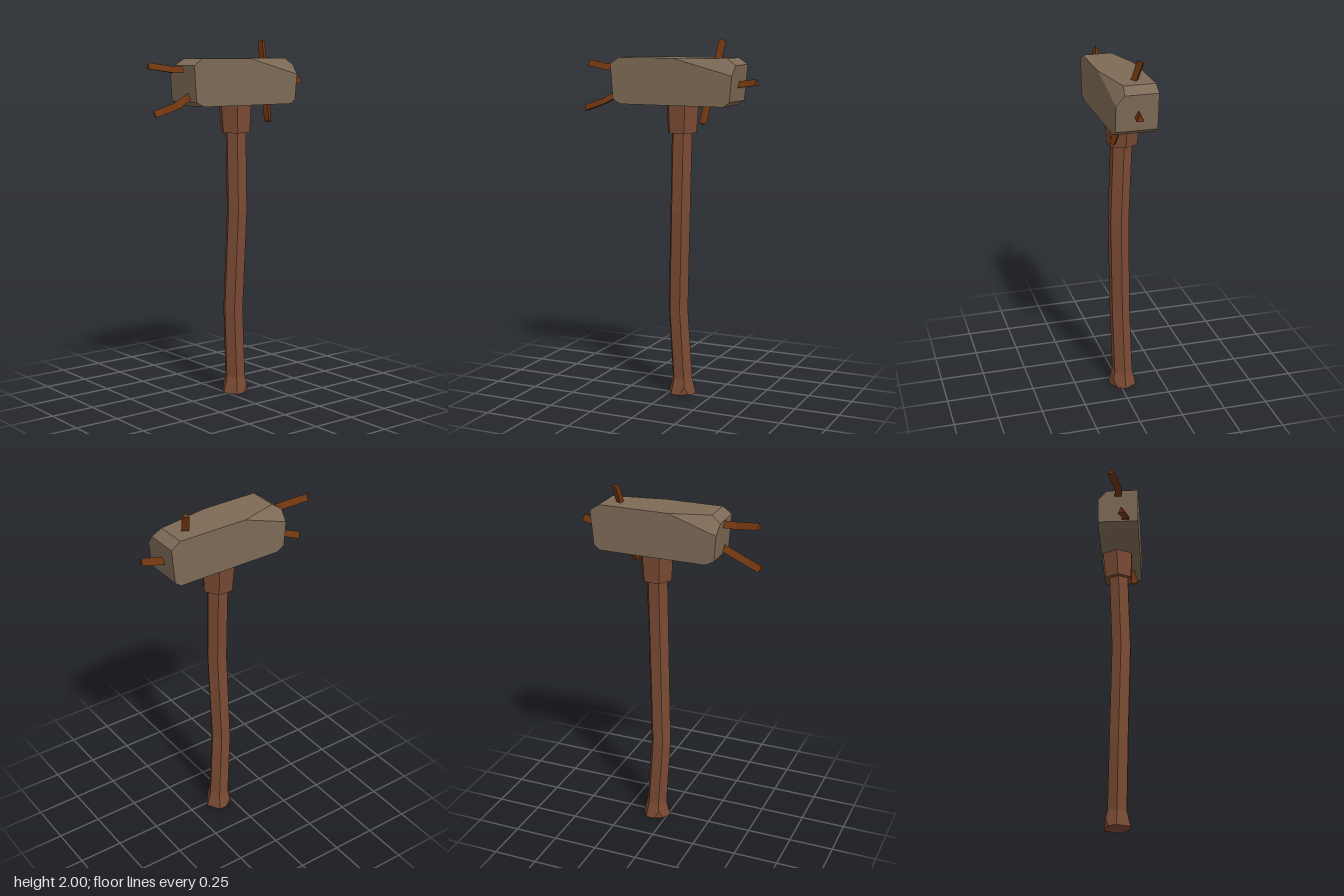
import * as THREE from 'three';
import { ConvexGeometry } from 'three/addons/geometries/ConvexGeometry.js';

const V = (x, y, z) => new THREE.Vector3(x, y, z);
const UP = V(0, 1, 0), FRONT = V(0, 0, 1);

const material = (color) => new THREE.MeshStandardMaterial({ color, flatShading: true });
const darkWood = material(0x7a4a33);
const stone = material(0x7d6a56);
const twigWood = material(0x6e3510);

// Regular polygon around a centre, facing along t, first corner towards ref
function ring(c, t, ref, r, sides) {
  const n = ref.clone().addScaledVector(t, -ref.dot(t)).normalize();
  const b = t.clone().cross(n);
  return Array.from({ length: sides }, (_, k) => {
    const a = (k / sides) * Math.PI * 2;
    return c.clone().addScaledVector(n, Math.cos(a) * r).addScaledVector(b, Math.sin(a) * r);
  });
}

// Closed, capped skin over a list of rings
function loft(rings) {
  const sides = rings[0].length, last = rings.length - 1, index = [];
  for (let i = 0; i < last; i++) {
    for (let j = 0; j < sides; j++) {
      const k = (j + 1) % sides, p = i * sides, q = p + sides;
      index.push(p + j, p + k, q + k, p + j, q + k, q + j);
    }
  }
  for (let j = 1; j < sides - 1; j++) {
    const e = last * sides;
    index.push(0, j + 1, j, e, e + j, e + j + 1);
  }
  const indexed = new THREE.BufferGeometry().setFromPoints(rings.flat());
  indexed.setIndex(index);
  const g = indexed.toNonIndexed();
  g.computeVertexNormals();
  return g;
}

// Upright six-sided post; each row is [x, y, z, radius]
const hexRing = ([x, y, z, r]) => ring(V(x, y, z), UP, FRONT, r, 6);
const post = (rows) => loft(rows.map(hexRing));

// Three-sided twig bent along a few points
function twig(points, ref, r) {
  return loft(points.map((p, i) => {
    const a = points[Math.max(i - 1, 0)], b = points[Math.min(i + 1, points.length - 1)];
    return ring(p, b.clone().sub(a).normalize(), ref, r, 3);
  }));
}

// Flared foot with two opposite bottom corners chipped off
function footGeometry() {
  const top = hexRing([-0.02, 0.09, -0.068, 0.06]);
  const bottom = hexRing([-0.02, 0, -0.068, 0.083]);
  const points = [...top];
  bottom.forEach((p, k) => {
    if (k % 3 !== 2) return points.push(p);
    points.push(p.clone().lerp(top[k], 0.5));
    for (const side of [1, 5]) points.push(p.clone().lerp(bottom[(k + side) % 6], 0.4));
  });
  return new ConvexGeometry(points);
}

// Stone block with bevelled ends and a long chip at two opposite top corners
function headGeometry() {
  const w = 0.113;
  const points = [
    // chip at the front, on the right
    V(-w, 1.9, 0.04), V(-0.05, 1.9, 0.26), V(-0.064, 1.864, 0.312), V(-w, 1.81, 0.307),
    V(w, 1.9, 0.26), V(w, 1.864, 0.312),
    // chip at the back, on the left
    V(w, 1.9, -0.06), V(0.06, 1.9, -0.357), V(0.07, 1.864, -0.41), V(w, 1.81, -0.405),
    V(-w, 1.9, -0.357), V(-w, 1.864, -0.41),
  ];
  for (const x of [-w, w]) {
    points.push(V(x, 1.67, 0.297), V(x, 1.645, 0.25), V(x, 1.67, -0.392), V(x, 1.645, -0.357));
  }
  return new ConvexGeometry(points);
}

export function createModel() {
  const model = new THREE.Group();
  const add = (name, geometry, mat) => {
    const mesh = new THREE.Mesh(geometry, mat);
    mesh.name = name;
    model.add(mesh);
  };

  add('handleFoot', footGeometry(), darkWood);
  add('handle', post([
    [-0.02, 0.09, -0.068, 0.06],
    [-0.011, 0.49, -0.045, 0.059],
    [0.002, 1.05, -0.062, 0.06],
    [-0.013, 1.5, -0.065, 0.061],
  ]), darkWood);
  add('collar', post([
    [-0.015, 1.49, -0.065, 0.086],
    [-0.02, 1.66, -0.065, 0.097],
  ]), darkWood);
  add('head', headGeometry(), stone);

  // Twigs growing out of the stone
  add('crossTwig', twig([V(-0.055, 1.995, -0.284), V(0.077, 1.55, -0.225)], V(0, 0, -1), 0.023), twigWood);
  add('backTwig', twig([V(-0.03, 1.74, -0.3), V(0.018, 1.77, -0.51)], UP, 0.023), twigWood);
  add('upperFrontTwig', twig(
    [V(-0.01, 1.84, 0.22), V(0.008, 1.837, 0.38), V(-0.026, 1.858, 0.512)], UP, 0.023), twigWood);
  add('lowerFrontTwig', twig(
    [V(0.025, 1.735, 0.22), V(0.05, 1.65, 0.38), V(0.028, 1.607, 0.508)], UP, 0.023), twigWood);

  return model;
}
